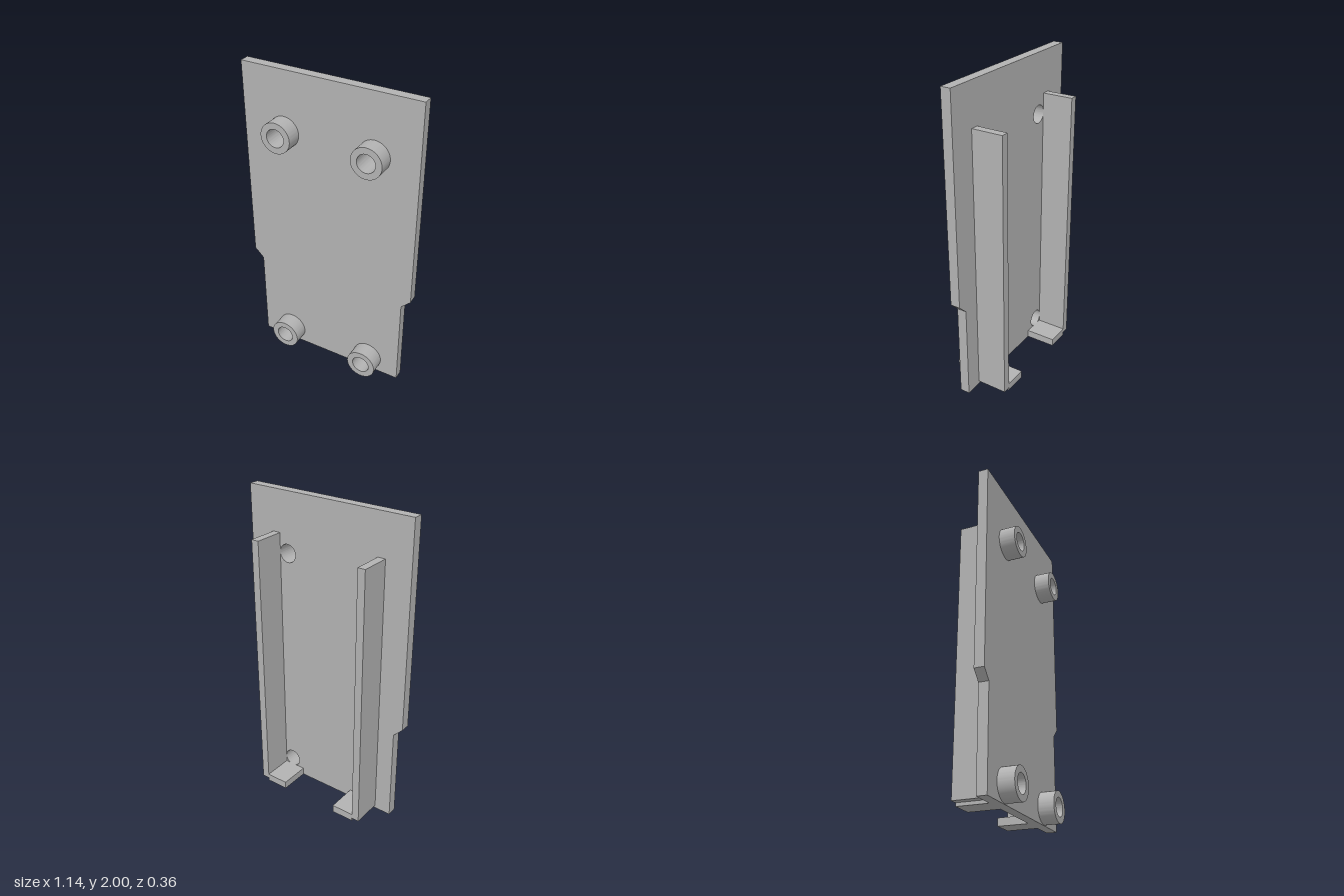
import * as THREE from 'three';
import { toCreasedNormals } from 'three/addons/utils/BufferGeometryUtils.js';

const HOLES = [[-0.295, 0.102], [0.292, 0.102], [-0.295, 1.615], [0.292, 1.615]];
const HOLE_R = 0.058, BOSS_R = 0.098;
const BACK = -0.18, PLATE_BACK = 0.017, PLATE_FRONT = 0.08, FRONT = 0.18;

function circle(type, x, y, r) {
  const c = new type();
  c.absarc(x, y, r, 0, Math.PI * 2, false);
  return c;
}

export function createModel() {
  const group = new THREE.Group();
  const grey = new THREE.MeshStandardMaterial({ color: 0xb2b2b2 });
  grey.name = 'plain grey';

  function add(name, geometry) {
    const mesh = new THREE.Mesh(geometry, grey);
    mesh.name = name;
    group.add(mesh);
  }

  // Extrude a shape between two depths, smooth round the holes
  function extrude(name, shape, z0, z1) {
    const g = new THREE.ExtrudeGeometry(shape, { depth: z1 - z0, bevelEnabled: false, curveSegments: 40 });
    g.translate(0, 0, z0);
    add(name, toCreasedNormals(g, 0.5));
  }

  // Box given by its limits on each axis
  function box(name, x0, x1, y0, y1, z0, z1) {
    const g = new THREE.BoxGeometry(Math.abs(x1 - x0), y1 - y0, z1 - z0);
    g.translate((x0 + x1) / 2, (y0 + y1) / 2, (z0 + z1) / 2);
    add(name, g);
  }

  // Stepped mounting plate with four through holes
  const plate = new THREE.Shape([
    [-0.51, 0], [0.51, 0], [0.51, 0.62], [0.57, 0.68],
    [0.57, 2], [-0.57, 2], [-0.57, 0.68], [-0.51, 0.62],
  ].map(([x, y]) => new THREE.Vector2(x, y)));
  for (const [x, y] of HOLES) plate.holes.push(circle(THREE.Path, x, y, HOLE_R));
  extrude('plate', plate, PLATE_BACK, PLATE_FRONT);

  // Hollow bosses on the front
  for (const [x, y] of HOLES) {
    const ring = circle(THREE.Shape, x, y, BOSS_R);
    ring.holes.push(circle(THREE.Path, x, y, HOLE_R));
    extrude('boss', ring, PLATE_FRONT, FRONT);
  }

  // Rails on the back, each with an inward foot
  for (const s of [-1, 1]) {
    const side = s > 0 ? 'left' : 'right';
    box(side + 'Rail', s * 0.35, s * 0.4, 0.02, 1.735, BACK, PLATE_BACK);
    box(side + 'Foot', s * 0.2, s * 0.35, 0, 0.05, BACK, PLATE_BACK);
  }
  return group;
}
